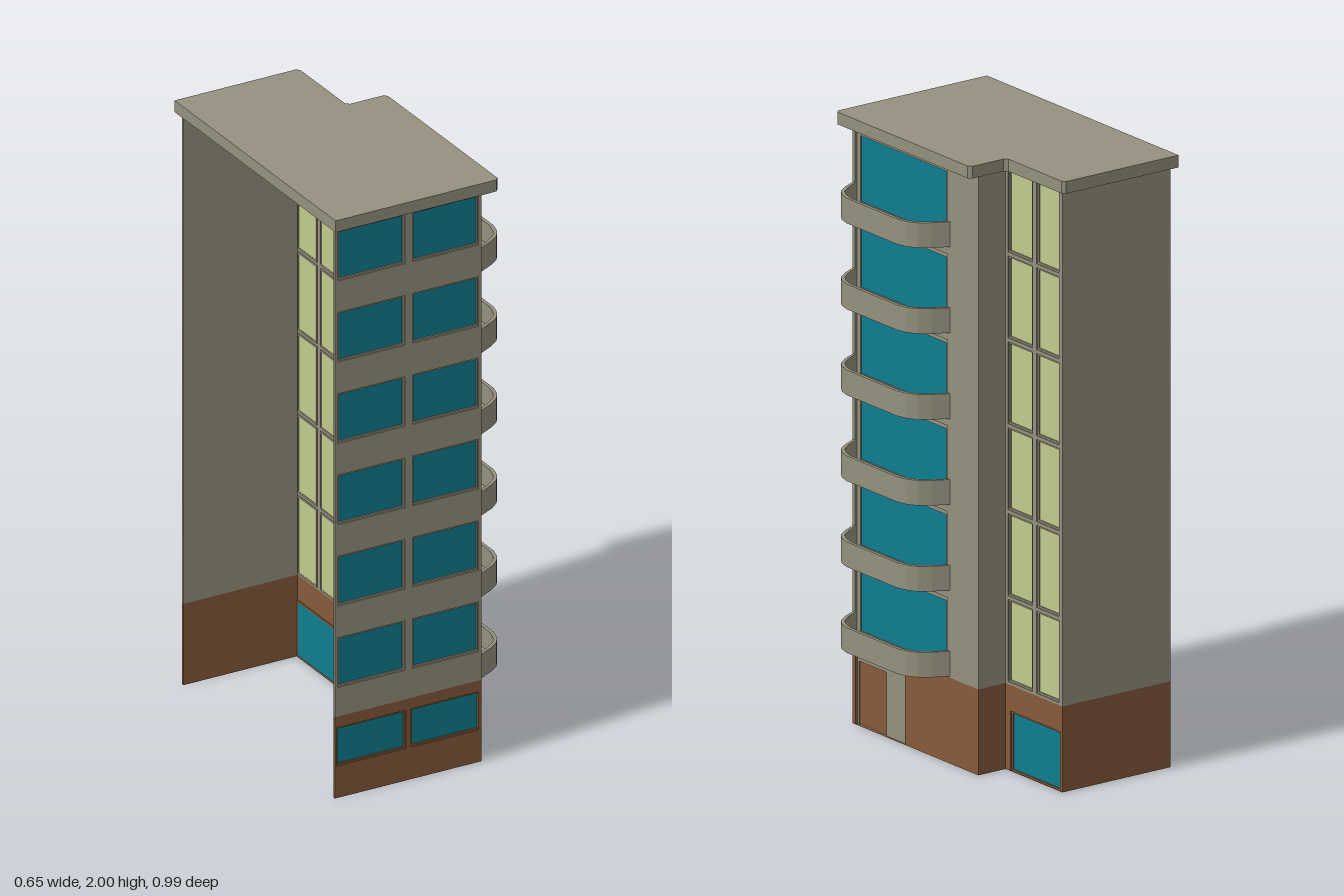
import * as THREE from 'three';

const mat = (name, color) => {
  const m = new THREE.MeshStandardMaterial({ color, side: THREE.DoubleSide });
  m.name = name;
  return m;
};

const FLOORS = 6, STEP = 0.28, BASE = 0.28, TOP = 1.963, WALL = 0.01;

const rectPoints = ([u0, u1, y0, y1]) => [
  new THREE.Vector2(u0, y0), new THREE.Vector2(u1, y0),
  new THREE.Vector2(u1, y1), new THREE.Vector2(u0, y1),
];

// Flat panel with rectangular holes; its outer face lies at the given depth
function panel(name, material, rect, holes = [], depth = 0, thick = WALL) {
  const shape = new THREE.Shape(rectPoints(rect));
  holes.forEach((h) => shape.holes.push(new THREE.Path(rectPoints(h).reverse())));
  const geo = new THREE.ExtrudeGeometry(shape, { depth: thick, bevelEnabled: false });
  const mesh = new THREE.Mesh(geo, material);
  mesh.name = name;
  mesh.position.z = -depth - thick;
  return mesh;
}

// Recessed frame and pane filling a wall opening
function addWindow(group, name, rect, frameMat, paneMat, border, recess) {
  const [u0, u1, y0, y1] = rect;
  const inner = [u0 + border, u1 - border, y0 + border, y1 - border];
  group.add(panel(name + 'Frame', frameMat, rect, [inner], recess, 0.01));
  group.add(panel(name + 'Pane', paneMat, inner, [], recess + 0.005, 0.004));
}

// Horizontal slab from [x, z] points
function slab(name, material, points, y, height) {
  const shape = new THREE.Shape(points.map(([x, z]) => new THREE.Vector2(x, -z)));
  const geo = new THREE.ExtrudeGeometry(shape, { depth: height, bevelEnabled: false });
  geo.rotateX(-Math.PI / 2);
  const mesh = new THREE.Mesh(geo, material);
  mesh.name = name;
  mesh.position.y = y;
  return mesh;
}

export function createModel() {
  const concrete = mat('concrete', 0x96917e);
  const brick = mat('brownBase', 0x865b3b);
  const glass = mat('tealGlass', 0x0e7d90);
  const paleGlass = mat('paleGlass', 0xc1cb8d);

  const model = new THREE.Group();
  model.name = 'apartmentBlock';
  const facade = (name, x, z, turn) => {
    const g = new THREE.Group();
    g.name = name;
    g.position.set(x, 0, z);
    g.rotation.y = turn;
    model.add(g);
    return g;
  };
  const L = -0.317, R = 0.208, RB = 0.102, F = 0.473, S = -0.175, B = -0.467;
  const perFloor = (fn) => Array.from({ length: FLOORS }, (_, i) => fn(i * STEP)).flat();

  // Front wall: paired windows on each floor
  const front = facade('frontWall', 0, F, 0);
  const frontWins = perFloor((y) => [
    [-0.306, -0.066, 0.38, 0.551], [-0.04, 0.2, 0.38, 0.551],
  ].map(([a, b, c, d]) => [a, b, c + y, d + y]));
  const baseWins = [[-0.311, -0.062, 0.11, 0.242], [-0.044, 0.204, 0.11, 0.242]];
  front.add(panel('frontUpperWall', concrete, [L, R, BASE, TOP], frontWins));
  front.add(panel('frontBaseWall', brick, [L, R, 0, BASE], baseWins));
  frontWins.forEach((r) => addWindow(front, 'frontWindow', r, concrete, glass, 0.006, 0.004));
  baseWins.forEach((r) => addWindow(front, 'baseWindow', r, brick, glass, 0.006, 0.004));

  // Right wall (local u = -z): wide balcony windows and the entrance
  const right = facade('rightWall', R, 0, Math.PI / 2);
  const bays = perFloor((y) => [[-0.46, 0.015, 0.29 + y, 0.538 + y]]);
  const entry = [-0.458, -0.203, 0, 0.245];
  const doorway = [-0.45, -0.31, 0, 0.207];
  right.add(panel('rightUpperWall', concrete, [-F, -S, BASE, TOP], bays));
  right.add(panel('rightBaseWall', brick, [-F, -S, 0, BASE], [entry]));
  bays.forEach((r) => addWindow(right, 'balconyWindow', r, concrete, glass, 0.016, 0.008));
  right.add(panel('entranceSurround', concrete, entry, [doorway], 0.008, 0.01));
  right.add(panel('entranceDoor', brick, doorway, [], 0.012, 0.006));

  // Step between the main block and the set-back stair bay
  const step = facade('stepWall', 0, S, Math.PI);
  step.add(panel('stepUpperWall', concrete, [-R, -RB, BASE, TOP]));
  step.add(panel('stepBaseWall', brick, [-R, -RB, 0, BASE]));

  // Stair bay: tall pale windows over a wide glazed door
  const stair = facade('stairWall', RB, 0, Math.PI / 2);
  const stairWins = perFloor((y) => [
    [0.186, 0.312, 0.288 + y, 0.556 + y], [0.334, 0.45, 0.288 + y, 0.556 + y],
  ]);
  const stairDoor = [0.2, 0.455, 0, 0.195];
  stair.add(panel('stairUpperWall', concrete, [-S, -B, BASE, TOP], stairWins));
  stair.add(panel('stairBaseWall', brick, [-S, -B, 0, BASE], [stairDoor]));
  stairWins.forEach((r) => addWindow(stair, 'stairWindow', r, concrete, paleGlass, 0.006, 0.004));
  addWindow(stair, 'stairDoor', stairDoor, brick, glass, 0.006, 0.004);

  // Plain back wall; the left side stays open
  const back = facade('backWall', 0, B, Math.PI);
  back.add(panel('backUpperWall', concrete, [-RB, -L, BASE, TOP]));
  back.add(panel('backBaseWall', brick, [-RB, -L, 0, BASE]));

  // Rounded balconies: parapet rim and floor
  const mid = 0.221;
  const half = [[R, 0.25], [0.26, 0.223], [0.294, 0.198], [0.313, 0.168], [0.323, 0.13]];
  const outer = [
    ...half.map(([x, d]) => [x, mid + d]),
    ...half.slice().reverse().map(([x, d]) => [x, mid - d]),
  ];
  const inner = outer.map(([x, z]) => [R + (x - R) * 0.9, mid + (z - mid) * 0.955]);
  const rim = [...outer, ...inner.slice().reverse()];
  for (let i = 0; i < FLOORS; i++) {
    const balcony = new THREE.Group();
    balcony.name = 'balcony';
    balcony.position.y = 0.284 + i * STEP;
    balcony.add(slab('balconyParapet', concrete, rim, 0, 0.082));
    balcony.add(slab('balconyFloor', concrete, inner, 0, 0.012));
    model.add(balcony);
  }

  // Overhanging roof slab with clipped corners
  model.add(slab('roof', concrete, [
    [-0.327, -0.495], [0.108, -0.495], [0.118, -0.484], [0.118, -0.211], [0.13, -0.2],
    [0.249, -0.2], [0.26, -0.189], [0.26, 0.482], [0.25, 0.493], [-0.327, 0.493],
  ], 1.96, 0.04));

  return model;
}
